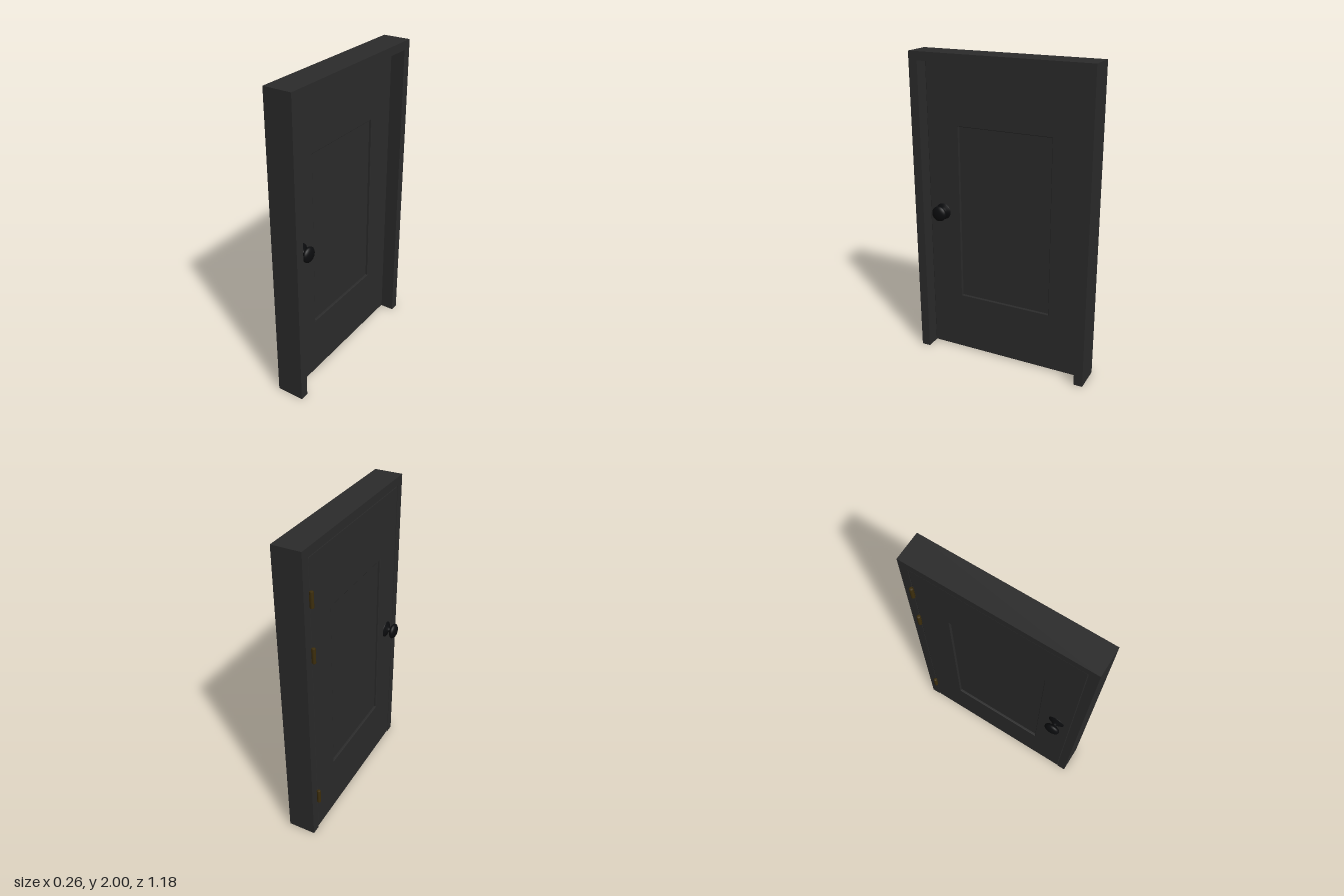
import * as THREE from 'three';

const paint = new THREE.MeshStandardMaterial({ color: 0x2b2b2b });
const iron = new THREE.MeshStandardMaterial({ color: 0x0b0c0e });
const brass = new THREE.MeshStandardMaterial({ color: 0x3d2e0c });

const BACK = -0.052, FRONT = 0.127;          // frame depth along x
const DOOR_FRONT = 0.04;                     // recessed face of the door
const HALF = 0.588, INNER = 0.53, HEAD = 1.946;

function add(parent, name, geometry, material) {
  const mesh = new THREE.Mesh(geometry, material);
  mesh.name = name;
  parent.add(mesh);
  return mesh;
}

// Extrude a (z, y) outline along x, from x0 to x1
function extrudeX(shape, x0, x1, bevel = 0) {
  const geometry = new THREE.ExtrudeGeometry(shape, {
    depth: x1 - x0 - 2 * bevel,
    bevelEnabled: bevel > 0,
    bevelThickness: bevel,
    bevelSize: bevel,
    bevelOffset: -bevel,
    bevelSegments: 2,
    curveSegments: 4,
  });
  return geometry.rotateY(Math.PI / 2).translate(x0 + bevel, 0, 0);
}

function roundedRect(w, y0, y1, r) {
  const s = new THREE.Shape();
  s.absarc(w - r, y0 + r, r, -Math.PI / 2, 0);
  s.absarc(w - r, y1 - r, r, 0, Math.PI / 2);
  s.absarc(-w + r, y1 - r, r, Math.PI / 2, Math.PI);
  s.absarc(-w + r, y0 + r, r, Math.PI, Math.PI * 1.5);
  s.closePath();
  return s;
}

function points(list) {
  return list.map(([x, y]) => new THREE.Vector2(x, y));
}

// Knob with flared rose, neck and flattened ball, along +y from the door face
function knobGeometry() {
  const profile = points([[0.053, 0], [0.051, 0.004], [0.036, 0.01], [0.022, 0.018], [0.012, 0.026], [0.011, 0.032]]);
  for (let i = 1; i <= 14; i++) {
    const a = -Math.PI / 2 + 0.2 + (i / 14) * (Math.PI - 0.2);
    profile.push(new THREE.Vector2(Math.max(0, 0.05 * Math.cos(a)), 0.0535 + 0.0235 * Math.sin(a)));
  }
  return new THREE.LatheGeometry(profile, 32);
}

export function createModel() {
  const model = new THREE.Group();
  model.name = 'door';

  // Frame: two jambs and a head, open at the floor
  const frame = new THREE.Shape(points([
    [-HALF, 0], [-INNER, 0], [-INNER, HEAD], [INNER, HEAD],
    [INNER, 0], [HALF, 0], [HALF, 2], [-HALF, 2],
  ]));
  add(model, 'frame', extrudeX(frame, BACK, FRONT), paint);

  // Door leaf with an opening for the panel
  const leaf = roundedRect(INNER - 0.001, 0.006, HEAD - 0.001, 0.01);
  leaf.holes.push(new THREE.Path(points([[-0.31, 0.4], [-0.31, 1.55], [0.31, 1.55], [0.31, 0.4]])));
  add(model, 'doorLeaf', extrudeX(leaf, BACK + 0.001, DOOR_FRONT, 0.004), paint);

  // Panel sunk into both faces
  const depth = DOOR_FRONT - BACK - 0.032;
  add(model, 'panel', new THREE.BoxGeometry(depth, 1.17, 0.64), paint)
    .position.set((DOOR_FRONT + BACK) / 2, 0.975, 0);

  // A knob on each face
  for (const [name, x, dir] of [['outerKnob', BACK, 1], ['innerKnob', DOOR_FRONT, -1]]) {
    const knob = add(model, name, knobGeometry(), iron);
    knob.position.set(x, 0.98, 0.435);
    knob.rotation.z = dir * Math.PI / 2;
  }

  // Hinges: pin barrel and short leaf
  for (const y of [0.29, 1.363, 1.71]) {
    const hinge = new THREE.Group();
    hinge.name = 'hinge';
    hinge.position.set(-0.063, y, -0.528);
    const barrel = points([[0, -0.05], [0.009, -0.05], [0.012, -0.046], [0.012, 0.046], [0.009, 0.05], [0, 0.05]]);
    add(hinge, 'hingeBarrel', new THREE.LatheGeometry(barrel, 16), brass);
    add(hinge, 'hingeLeaf', new THREE.BoxGeometry(0.02, 0.094, 0.014), brass).position.x = 0.008;
    model.add(hinge);
  }
  return model;
}
